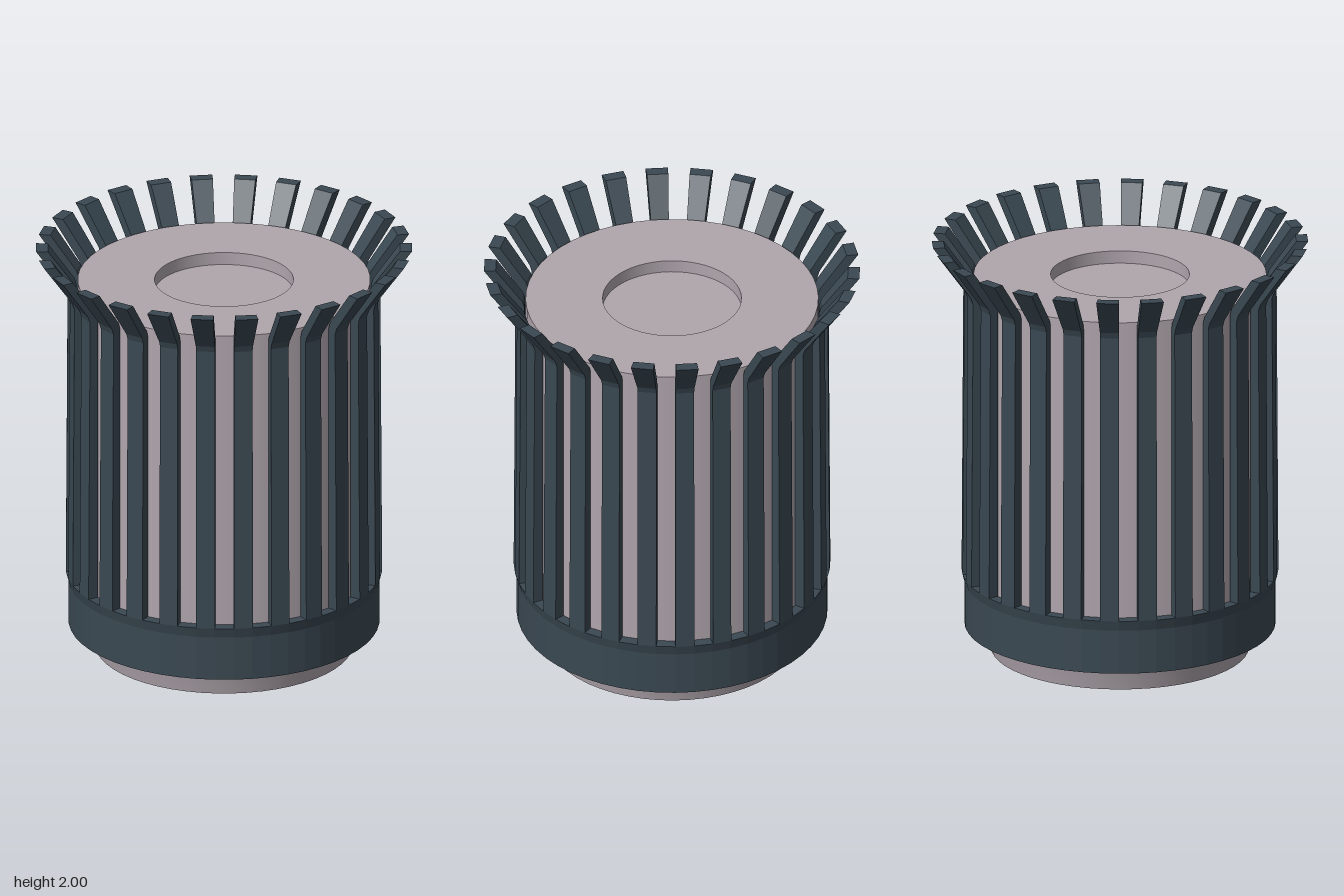
import * as THREE from 'three';

const SLATS = 26;
const STEP = Math.PI / SLATS; // a slat and a gap each span one step

const v = (pairs) => pairs.map(([r, y]) => new THREE.Vector2(r, y));

// Sweep a closed (radius, height) outline through one step, giving a capped wedge
function wedge(outline) {
  const g = new THREE.ExtrudeGeometry(new THREE.Shape(v(outline)), { depth: 1, bevelEnabled: false });
  const p = g.attributes.position;
  for (let i = 0; i < p.count; i++) {
    const r = p.getX(i), a = STEP * (1 - p.getZ(i));
    p.setXYZ(i, r * Math.sin(a), p.getY(i), r * Math.cos(a));
  }
  g.computeVertexNormals();
  return g;
}

export function createModel() {
  const group = new THREE.Group();
  const darkSlate = new THREE.MeshStandardMaterial({ color: 0x3a4852 });
  const paleGrey = new THREE.MeshStandardMaterial({ color: 0xb0a6ad });

  function add(name, geometry, material, parent = group) {
    const mesh = new THREE.Mesh(geometry, material);
    mesh.name = name;
    parent.add(mesh);
    return mesh;
  }

  // Core: separate lathes keep the edges between them sharp
  const core = new THREE.Group();
  core.name = 'core';
  group.add(core);
  const corePart = (name, pairs) => add(name, new THREE.LatheGeometry(v(pairs), SLATS * 2), paleGrey, core);
  corePart('coreBase', [[0, 0], [0.3, 0.004], [0.595, 0.02]]);
  corePart('coreTaper', [[0.595, 0.02], [0.62, 0.14], [0.675, 0.34]]);
  corePart('coreWall', [[0.675, 0.34], [0.675, 1.84]]);
  corePart('coreTop', [[0.675, 1.84], [0.32, 1.84]]);
  corePart('recessWall', [[0.32, 1.84], [0.32, 1.78]]);
  corePart('recessFloor', [[0.32, 1.78], [0, 1.78]]);

  // Collar at the foot of the slats
  const collarGeo = wedge([[0.68, 0.14], [0.717, 0.14], [0.717, 0.35], [0.73, 0.4], [0.68, 0.4]]);
  const collar = new THREE.Group();
  collar.name = 'collar';
  group.add(collar);
  for (let i = 0; i < SLATS * 2; i++) {
    add('collarSegment', collarGeo, darkSlate, collar).rotation.y = i * STEP;
  }

  // Upright slats that flare outwards at the top
  const slatGeo = wedge([
    [0.68, 0.4], [0.73, 0.4], [0.722, 1.78], [0.732, 1.81], [0.867, 2],
    [0.813, 2], [0.69, 1.83], [0.68, 1.8],
  ]);
  const slats = new THREE.Group();
  slats.name = 'slats';
  group.add(slats);
  for (let i = 0; i < SLATS; i++) {
    add('slat', slatGeo, darkSlate, slats).rotation.y = i * 2 * STEP;
  }
  return group;
}
